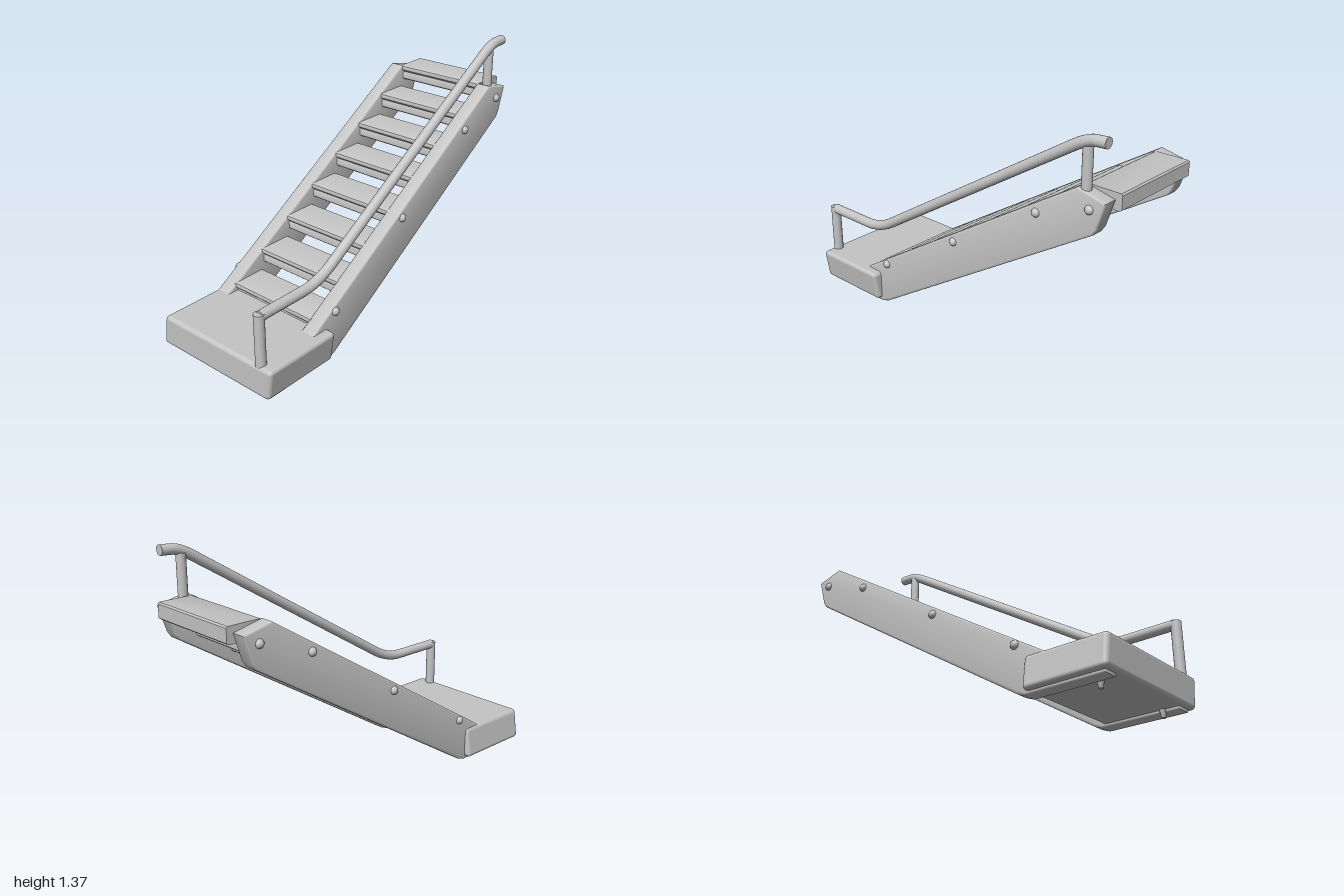
import * as THREE from 'three';
import { RoundedBoxGeometry } from 'three/addons/geometries/RoundedBoxGeometry.js';
import { toCreasedNormals } from 'three/addons/utils/BufferGeometryUtils.js';

const grey = new THREE.MeshStandardMaterial({ color: 0xc4c4c4 });
grey.name = 'plain grey';

function add(parent, name, geometry, x = 0, y = 0, z = 0) {
  const mesh = new THREE.Mesh(geometry, grey);
  mesh.name = name;
  mesh.position.set(x, y, z);
  parent.add(mesh);
  return mesh;
}

// Side profile of [z, y] points, extruded across x and centred on x = 0
function sideExtrude(points, width, bevel) {
  const shape = new THREE.Shape(points.map(([z, y]) => new THREE.Vector2(z, y)));
  const geometry = new THREE.ExtrudeGeometry(shape, {
    depth: width - 2 * bevel, bevelEnabled: bevel > 0,
    bevelSize: bevel, bevelOffset: -bevel, bevelThickness: bevel, bevelSegments: 3,
  });
  geometry.translate(0, 0, -(width - 2 * bevel) / 2);
  geometry.rotateY(-Math.PI / 2);
  return toCreasedNormals(geometry, 0.6);
}

export function createModel() {
  const model = new THREE.Group();
  model.name = 'staircase';

  // Landing block, leaning slightly sideways
  const landing = new RoundedBoxGeometry(0.75, 0.17, 0.45, 4, 0.022);
  landing.applyMatrix4(new THREE.Matrix4().makeShear(0, 0, 0.15, 0, 0, 0));
  add(model, 'landing', landing, 0.001, 0.125, 0.772);

  // Side stringers
  const stringer = sideExtrude([
    [0.97, 0.025], [0.54, 0.025], [0.5, 0.04], [-0.895, 0.91], [-0.915, 0.94],
    [-0.96, 1.08], [-0.8, 1.115], [0.66, 0.205], [0.97, 0.12],
  ], 0.083, 0.01);
  const sides = [
    { name: 'left', x: 0.293, outer: 0.331, dir: 1 },
    { name: 'right', x: -0.311, outer: -0.35, dir: -1 },
  ];
  const bolts = [[0.49, 0.28], [-0.035, 0.595], [-0.575, 0.925], [-0.875, 1.03]];
  for (const side of sides) {
    add(model, side.name + 'Stringer', stringer, side.x);
    // Domed bolts
    for (const [z, y] of bolts) {
      const bolt = add(model, side.name + 'Bolt', new THREE.SphereGeometry(0.023, 20, 14), side.outer, y, z);
      bolt.scale.x = 1;
    }
    // Small foot under the landing
    const foot = add(model, side.name + 'Foot', new THREE.CylinderGeometry(0.025, 0.012, 0.045, 20),
      0.257 * side.dir, 0.0225, 0.88);
    foot.scale.z = 0.7;
  }

  // Treads with a lipped nosing
  const tread = sideExtrude([
    [-0.012, 0], [-0.003, -0.005], [0, -0.014], [-0.002, -0.026], [-0.014, -0.038],
    [-0.01, -0.046], [-0.01, -0.078], [-0.018, -0.085], [-0.187, -0.085],
    [-0.197, -0.077], [-0.197, -0.008], [-0.19, 0],
  ], 0.54, 0);
  for (let i = 0; i < 8; i++) {
    add(model, 'tread', tread, -0.01, 0.255 + i * 0.1229, 0.595 - i * 0.199);
  }

  // Handrail bent at both ends
  const v = (x, y, z) => new THREE.Vector3(x, y, z);
  const path = new THREE.CurvePath();
  path.add(new THREE.LineCurve3(v(0.297, 0.465, 0.965), v(0.297, 0.465, 0.68)));
  path.add(new THREE.QuadraticBezierCurve3(v(0.297, 0.465, 0.68), v(0.297, 0.465, 0.58), v(0.298, 0.525, 0.48)));
  path.add(new THREE.LineCurve3(v(0.298, 0.525, 0.48), v(0.305, 1.295, -0.76)));
  path.add(new THREE.QuadraticBezierCurve3(v(0.305, 1.295, -0.76), v(0.305, 1.335, -0.825), v(0.305, 1.342, -0.87)));
  path.add(new THREE.LineCurve3(v(0.305, 1.342, -0.87), v(0.305, 1.346, -0.94)));
  add(model, 'handrail', new THREE.TubeGeometry(path, 160, 0.027, 20, false));

  // Rail end caps
  const cap = new THREE.CircleGeometry(0.027, 20);
  add(model, 'railFrontCap', cap, 0.297, 0.465, 0.965);
  add(model, 'railBackCap', cap, 0.305, 1.346, -0.94).rotation.y = Math.PI;

  // Rail posts
  add(model, 'frontPost', new THREE.CylinderGeometry(0.027, 0.027, 0.28, 20), 0.297, 0.34, 0.968);
  add(model, 'backPost', new THREE.CylinderGeometry(0.025, 0.025, 0.24, 20), 0.298, 1.2, -0.83);

  return model;
}
